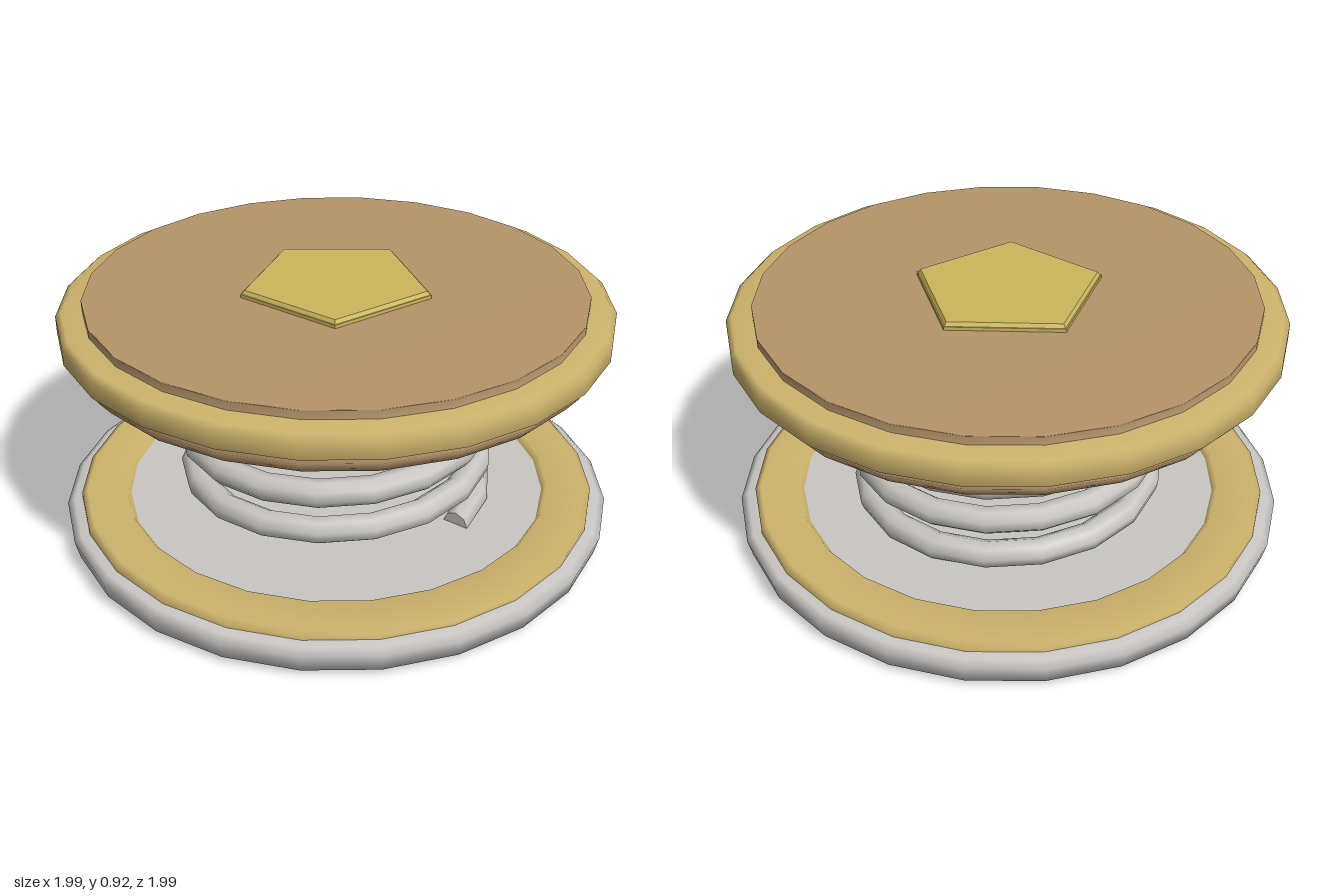
import * as THREE from 'three';

const mat = (name, color) => {
  const m = new THREE.MeshStandardMaterial({ color });
  m.name = name;
  return m;
};

export function createModel() {
  const model = new THREE.Group();
  model.name = 'springPad';
  const silver = mat('silver', 0xc9c7c4);
  const gold = mat('gold', 0xcdb36c);
  const tan = mat('tan', 0xb5946a);
  const yellow = mat('yellow', 0xcbb65c);

  const add = (name, geometry, material) => {
    const mesh = new THREE.Mesh(geometry, material);
    mesh.name = name;
    model.add(mesh);
    return mesh;
  };
  // Turned part: profile of [radius, height] running from bottom to top
  const turned = (name, profile, material, sides = 24) => {
    const pts = profile.map(([r, y]) => new THREE.Vector2(r, y));
    return add(name, new THREE.LatheGeometry(pts, sides), material);
  };

  // Base plate with bevelled rim
  turned('basePlate', [
    [0, 0.005], [0.92, 0.005], [0.92, 0.025], [0.98, 0.03], [0.995, 0.095],
    [0.97, 0.115], [0.9, 0.12], [0, 0.12],
  ], silver);

  // Gold ring lying on the base
  turned('baseRing', [
    [0.94, 0.1], [0.94, 0.135], [0.92, 0.145], [0.78, 0.145], [0.76, 0.115],
  ], gold);

  // Coil spring: four turns, starting and ending on the +x side
  class Coil extends THREE.Curve {
    getPoint(t, target = new THREE.Vector3()) {
      const a = t * Math.PI * 8;
      return target.set(0.525 * Math.cos(a), 0.12 + 0.588 * t, -0.525 * Math.sin(a));
    }
  }
  const coil = new Coil();
  add('spring', new THREE.TubeGeometry(coil, 72, 0.048, 8, false), silver);
  // Closed wire ends
  for (const t of [0, 1]) {
    const cap = add('springEnd', new THREE.CircleGeometry(0.048, 8), silver);
    cap.position.copy(coil.getPoint(t));
    const dir = coil.getTangent(t).multiplyScalar(t ? 1 : -1);
    cap.quaternion.setFromUnitVectors(new THREE.Vector3(0, 0, 1), dir);
  }

  // Platform: flared underside and raised top
  turned('platform', [
    [0, 0.715], [0.9, 0.715], [0.94, 0.765], [0.9, 0.79], [0.87, 0.86],
    [0.87, 0.9], [0.87, 0.903], [0, 0.903],
  ], tan);

  // Gold band around the platform
  turned('platformBand', [
    [0.86, 0.775], [0.94, 0.778], [0.96, 0.79], [0.96, 0.85], [0.94, 0.868],
    [0.86, 0.872],
  ], gold);

  // Pentagon badge, point towards the back
  const badge = (name, rTop, rBottom, y0, y1) => {
    const g = new THREE.CylinderGeometry(rTop, rBottom, y1 - y0, 5).toNonIndexed();
    g.computeVertexNormals();
    const mesh = add(name, g, yellow);
    mesh.position.y = (y0 + y1) / 2;
    mesh.rotation.y = Math.PI;
  };
  badge('pentagonFoot', 0.34, 0.34, 0.895, 0.915);
  badge('pentagonTop', 0.325, 0.335, 0.915, 0.928);

  return model;
}
